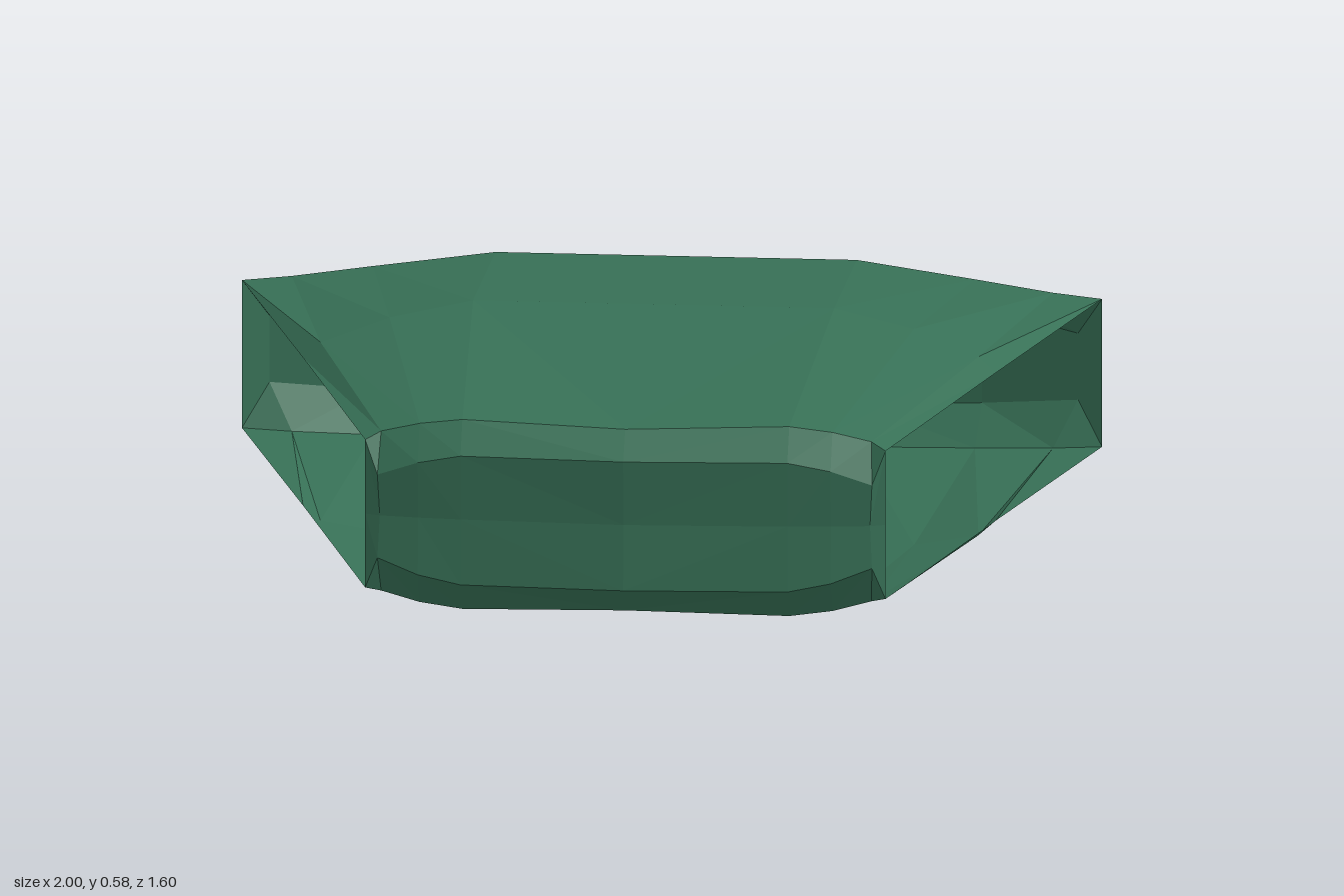
import * as THREE from 'three';

const MID = 0.29; // height of the horizontal symmetry plane

// Upper half of each cross-section [x, height above MID, z], running
// back middle, back edge, top back edge, ridge, top front edge, front edge, front middle
const STATIONS = [
  [[0, 0, -0.8], [0, 0.145, -0.8], [0, 0.225, -0.72], [0, 0.29, -0.075], [0, 0.218, 0.74], [0, 0.155, 0.797], [0, 0, 0.785]],
  [[0.42, 0, -0.8], [0.42, 0.145, -0.8], [0.42, 0.225, -0.72], [0.42, 0.29, -0.075], [0.38, 0.228, 0.722], [0.38, 0.155, 0.777], [0.38, 0, 0.768]],
  [[0.71, 0, -0.73], [0.71, 0.115, -0.73], [0.7, 0.203, -0.655], [0.61, 0.26, -0.02], [0.48, 0.215, 0.717], [0.48, 0.135, 0.77], [0.48, 0, 0.76]],
  [[0.94, 0, -0.65], [0.94, 0.08, -0.65], [0.885, 0.187, -0.612], [0.765, 0.215, 0.045], [0.57, 0.192, 0.708], [0.575, 0.1, 0.755], [0.57, 0, 0.748]],
  [[1, 0, -0.6], [1, 0.178, -0.6], [1, 0.178, -0.6], [0.805, 0.178, 0.05], [0.605, 0.178, 0.735], [0.605, 0.178, 0.735], [0.605, 0, 0.735]],
];

// Close a half section into a full ring, optionally mirrored in x
function ring(half, side) {
  const lower = half.slice(1, 6).reverse().map(([x, h, z]) => [x, -h, z]);
  return [...half, ...lower].map(([x, h, z]) => new THREE.Vector3(side * x, MID + h, z));
}

// Skin the chosen ring segments from one side of the shell to the other
function panel(name, rings, segments, material) {
  const points = [];
  const face = (a, b, c) => {
    const area = b.clone().sub(a).cross(c.clone().sub(a)).length();
    if (area > 1e-6) points.push(a, b, c);
  };
  for (let i = 0; i < rings.length - 1; i++) {
    for (const j of segments) {
      const k = (j + 1) % 12;
      const a = rings[i][j], b = rings[i][k], c = rings[i + 1][k], d = rings[i + 1][j];
      // mirror the diagonal so both halves match
      if (i < 4) { face(a, b, c); face(a, c, d); }
      else { face(a, b, d); face(b, c, d); }
    }
  }
  const geometry = new THREE.BufferGeometry().setFromPoints(points);
  geometry.computeVertexNormals();
  const mesh = new THREE.Mesh(geometry, material);
  mesh.name = name;
  return mesh;
}

export function createModel() {
  const green = new THREE.MeshStandardMaterial({ color: 0x377056, flatShading: true, side: THREE.DoubleSide });
  green.name = 'green';

  const rings = [
    ...STATIONS.slice(1).reverse().map((s) => ring(s, -1)),
    ...STATIONS.map((s) => ring(s, 1)),
  ];

  // Hollow shell, open at its left and right ends
  const group = new THREE.Group();
  group.name = 'openShell';
  const parts = {
    topPanel: [2, 3],
    bottomPanel: [8, 9],
    frontWall: [5, 6],
    frontBevels: [4, 7],
    backWall: [11, 0],
    backBevels: [1, 10],
  };
  for (const [name, segments] of Object.entries(parts)) group.add(panel(name, rings, segments, green));
  return group;
}
